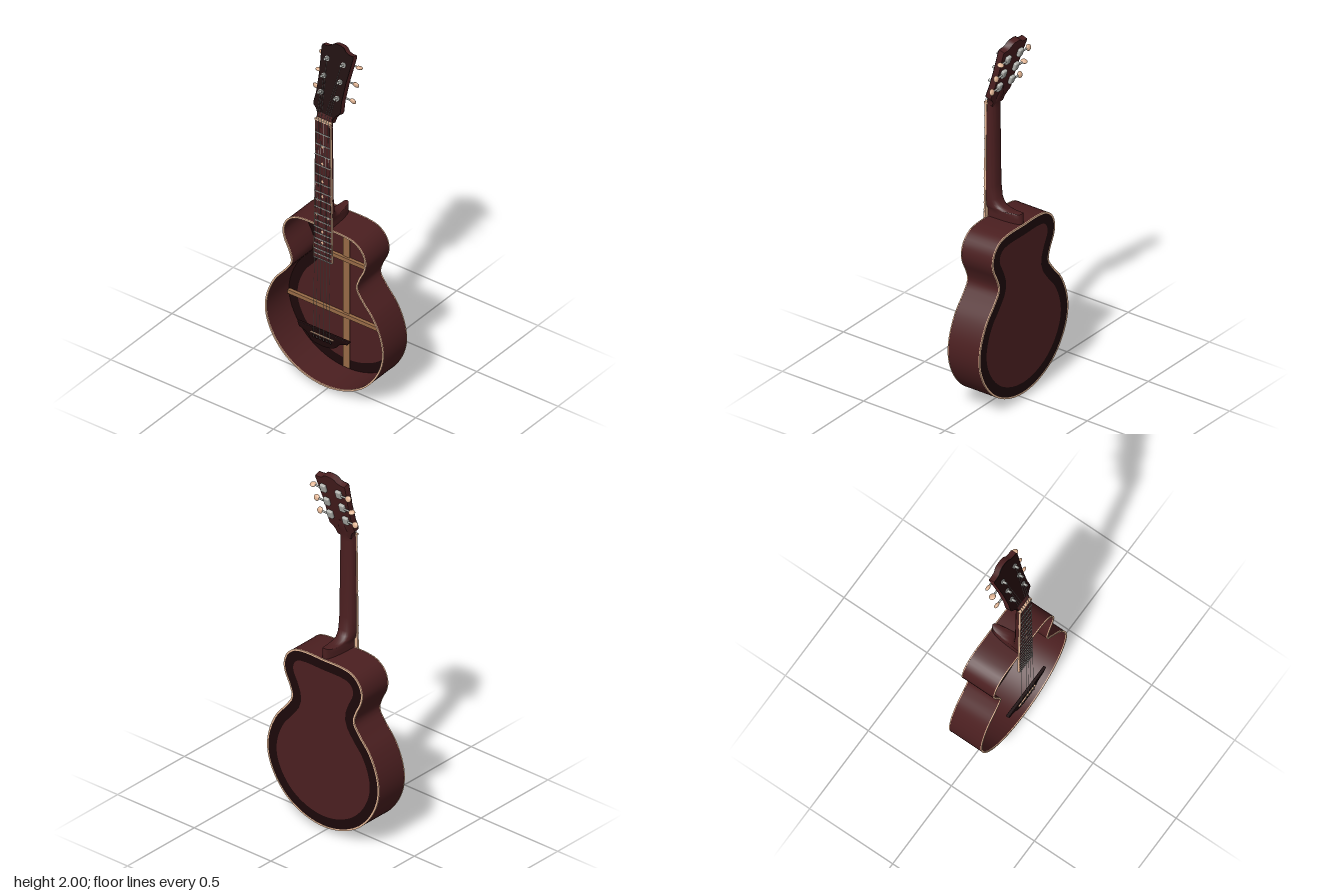
import * as THREE from 'three';
import { toCreasedNormals } from 'three/addons/utils/BufferGeometryUtils.js';
import { RoundedBoxGeometry } from 'three/addons/geometries/RoundedBoxGeometry.js';

const mat = (name, color) => {
  const m = new THREE.MeshStandardMaterial({ color });
  m.name = name;
  return m;
};
const V2 = (x, y) => new THREE.Vector2(x, y);
const V3 = (x, y, z) => new THREE.Vector3(x, y, z);

export function createModel() {
  const wood = mat('red brown wood', 0x4b1f20);
  const dark = mat('dark wood', 0x1c0809);
  const brace = mat('brace wood', 0x976a46);
  const cream = mat('cream binding', 0xe4b796);
  const metal = mat('metal', 0xb2b3ae);
  const guitar = new THREE.Group();
  guitar.name = 'guitar';

  const add = (parent, name, geo, material, x = 0, y = 0, z = 0) => {
    const mesh = new THREE.Mesh(geo, material);
    mesh.name = name;
    mesh.position.set(x, y, z);
    parent.add(mesh);
    return mesh;
  };
  const box = (parent, name, w, h, d, m, x, y, z) =>
    add(parent, name, new THREE.BoxGeometry(w, h, d), m, x, y, z);
  // Flat outline, optionally with a hole, extruded along z
  const slab = (pts, depth, hole) => {
    const shape = new THREE.Shape(pts);
    if (hole) shape.holes.push(new THREE.Path(hole));
    const geo = new THREE.ExtrudeGeometry(shape, { depth, bevelEnabled: false });
    return toCreasedNormals(geo, 0.5);
  };
  // Mirrors a half outline running from bottom centre to top centre
  const mirror = half => [...half, ...half.filter(p => p[0] > 0).reverse().map(([x, y]) => [-x, y])];
  const rod = (parent, name, a, b, r, m, sides = 6) => {
    const mesh = add(parent, name, new THREE.CylinderGeometry(r, r, a.distanceTo(b), sides), m);
    mesh.position.copy(a).add(b).multiplyScalar(0.5);
    mesh.quaternion.setFromUnitVectors(V3(0, 1, 0), b.clone().sub(a).normalize());
    return mesh;
  };

  // Body outline and its insets
  const front = 0.085, back = -0.11;
  const half = [[0, 0.028], [0.115, 0.046], [0.222, 0.099], [0.3, 0.178], [0.35, 0.275], [0.364, 0.36],
    [0.35, 0.45], [0.305, 0.55], [0.24, 0.63], [0.203, 0.69], [0.218, 0.75], [0.247, 0.81],
    [0.256, 0.86], [0.237, 0.92], [0.19, 0.961], [0.125, 0.975], [0, 0.975]];
  const curve = new THREE.CatmullRomCurve3(mirror(half).map(([x, y]) => V3(x, y, 0)), true);
  const rim = curve.getSpacedPoints(120).slice(0, -1);
  const inset = d => rim.map((p, i) => {
    const t = rim[(i + 1) % rim.length].clone().sub(rim[(i + rim.length - 1) % rim.length]).normalize();
    return V2(p.x - t.y * d, p.y + t.x * d);
  });
  const body = new THREE.Group();
  body.name = 'body';
  guitar.add(body);
  add(body, 'sides', slab(inset(0), front - back - 0.008, inset(0.007)), wood, 0, 0, back + 0.004);
  add(body, 'frontBinding', slab(inset(-0.001), 0.005, inset(0.008)), cream, 0, 0, front - 0.005);
  add(body, 'backBinding', slab(inset(-0.001), 0.005, inset(0.008)), cream, 0, 0, back);
  add(body, 'backBorder', slab(inset(0.006), 0.007, inset(0.06)), dark, 0, 0, back + 0.001);
  add(body, 'backPanel', slab(inset(0.06), 0.007), wood, 0, 0, back + 0.001);

  // Braces glued inside the back
  box(body, 'centreBrace', 0.04, 0.925, 0.006, brace, 0, 0.503, back + 0.011);
  for (const [y, w] of [[0.355, 0.352], [0.69, 0.194], [0.848, 0.246]])
    box(body, 'crossBrace', w * 2, 0.022, 0.018, brace, 0, y, back + 0.017);

  // Neck and heel: D-shaped cross-sections [y, half width, depth, rise of the back edge]
  const sections = [[0.968, 0.036, 0.188, 0], [1.0, 0.036, 0.19, 0], [1.02, 0.036, 0.19, 0.016],
    [1.026, 0.04, 0.125, 0], [1.036, 0.044, 0.083, 0], [1.053, 0.047, 0.062, 0], [1.077, 0.05, 0.049, 0],
    [1.15, 0.049, 0.04, 0], [1.4, 0.047, 0.037, 0], [1.58, 0.044, 0.036, 0], [1.615, 0.044, 0.038, 0],
    [1.65, 0.04, 0.044, 0], [1.71, 0.02, 0.036, 0]];
  const N = 16, pos = [], idx = [];
  for (const [y, w, d, rise] of sections)
    for (let i = 0; i <= N; i++) {
      const a = Math.PI * i / N, c = Math.cos(a), s = Math.sin(a);
      const lean = Math.max(0, y - 1.615) * 0.36;
      pos.push(w * Math.sign(c) * Math.abs(c) ** 0.75, y + rise * s ** 8, front - lean - d * s);
    }
  for (let s = 0; s < sections.length - 1; s++)
    for (let i = 0; i <= N; i++) {
      const j = (i + 1) % (N + 1), a = s * (N + 1), b = a + N + 1;
      idx.push(a + i, a + j, b + i, a + j, b + j, b + i);
    }
  for (let i = 1; i < N; i++) {
    const t = (sections.length - 1) * (N + 1);
    idx.push(0, i + 1, i, t, t + i, t + i + 1);
  }
  const neckGeo = new THREE.BufferGeometry();
  neckGeo.setAttribute('position', new THREE.Float32BufferAttribute(pos, 3));
  neckGeo.setIndex(idx);
  add(guitar, 'neck', toCreasedNormals(neckGeo, 0.8), wood);

  // Fretboard with bound edges, frets and inlays
  const nutY = 1.61, endY = 0.785, boardTop = 0.097;
  const halfWidth = y => 0.046 + (nutY - y) / (nutY - endY) * 0.011;
  const board = inner => [V2(-halfWidth(endY) + inner, endY), V2(halfWidth(endY) - inner, endY),
    V2(halfWidth(nutY) - inner, nutY), V2(-halfWidth(nutY) + inner, nutY)];
  add(guitar, 'fretboardBinding', slab(board(0), 0.011), cream, 0, 0, front);
  add(guitar, 'fretboard', slab(board(0.003), 0.002), wood, 0, 0, boardTop - 0.002);
  const scale = 1.27;
  for (let n = 1; n <= 18; n++) {
    const y = nutY - scale * (1 - 2 ** (-n / 12));
    box(guitar, 'fret', halfWidth(y) * 2 - 0.004, 0.005, 0.004, metal, 0, y, boardTop + 0.001);
  }
  for (const [x, y] of [[0, 1.463], [0, 1.362], [0, 1.256], [0, 1.167], [-0.034, 1.05], [0.034, 1.05],
    [0, 0.955], [0, 0.89]])
    add(guitar, 'inlay', new THREE.CircleGeometry(0.01, 4), cream, x, y, boardTop + 0.001);
  box(guitar, 'nut', 0.096, 0.011, 0.02, cream, 0, nutY + 0.004, 0.089);

  // Headstock, tilted back
  const head = new THREE.Group();
  head.name = 'headstock';
  head.position.set(0, nutY, 0.085);
  head.rotation.x = -0.3;
  guitar.add(head);
  head.updateMatrix();
  const headPts = mirror([[0.044, 0.004], [0.049, 0.03], [0.062, 0.05], [0.08, 0.064], [0.083, 0.078],
    [0.078, 0.13], [0.082, 0.23], [0.097, 0.37], [0.094, 0.38], [0.07, 0.38], [0.05, 0.386],
    [0.034, 0.402], [0.015, 0.408]]).map(([x, y]) => V2(x, y));
  add(head, 'headstockWood', slab(headPts, 0.03), wood, 0, 0, -0.034);
  add(head, 'headstockFace', slab(headPts, 0.004), dark, 0, 0, -0.004);

  // Tuners, three on each side, some buttons turned edge-on
  const posts = [0.141, 0.228, 0.319];
  for (const s of [-1, 1])
    posts.forEach((y, k) => {
      const tuner = new THREE.Group();
      tuner.name = s > 0 ? 'leftTuner' : 'rightTuner';
      tuner.position.set(s * 0.05, y, 0);
      head.add(tuner);
      rod(tuner, 'washer', V3(0, 0, 0), V3(0, 0, 0.005), 0.014, metal, 12);
      rod(tuner, 'post', V3(0, 0, 0), V3(0, 0, 0.026), 0.007, metal, 10);
      add(tuner, 'gearHousing', new RoundedBoxGeometry(0.036, 0.048, 0.02, 2, 0.008), metal, 0, 0, -0.043);
      rod(tuner, 'shaft', V3(0, 0, -0.045), V3(s * 0.055, 0, -0.045), 0.005, metal, 8);
      const knob = add(tuner, 'button', new THREE.SphereGeometry(1, 14, 10), cream, s * 0.064, 0, -0.045);
      knob.scale.set(0.018, 0.017, 0.009);
      knob.rotation.x = k === (s < 0 ? 1 : 2) ? Math.PI / 2 : 0.6;
    });

  // Floating bridge with curved ends, saddle and pins
  const bridge = new THREE.Shape([V2(-0.155, 0.362), V2(-0.145, 0.335)]);
  bridge.quadraticCurveTo(-0.09, 0.325, -0.078, 0.29);
  bridge.quadraticCurveTo(-0.06, 0.273, 0, 0.273);
  bridge.quadraticCurveTo(0.06, 0.275, 0.085, 0.3);
  bridge.quadraticCurveTo(0.1, 0.33, 0.15, 0.34);
  bridge.lineTo(0.168, 0.362);
  const bridgeGeo = new THREE.ExtrudeGeometry(bridge, {
    depth: 0.01, bevelThickness: 0.003, bevelSize: 0.003, bevelOffset: -0.003, bevelSegments: 2 });
  add(guitar, 'bridge', toCreasedNormals(bridgeGeo, 0.5), dark, 0, 0, 0.086);
  box(guitar, 'saddle', 0.14, 0.005, 0.007, cream, 0, 0.336, 0.102);

  // Strings run from the pins over the nut to the posts
  for (let i = 0; i < 6; i++) {
    const u = i / 2.5 - 1, s = Math.sign(u), k = i < 3 ? i : 5 - i;
    const low = V3(u * 0.052, 0.318, 0.106), nut = V3(u * 0.036, nutY + 0.006, 0.1);
    const post = V3(s * 0.045, posts[k], 0.014).applyMatrix4(head.matrix);
    rod(guitar, 'string', low, nut, 0.0011, metal, 5);
    rod(guitar, 'stringEnd', nut, post, 0.0011, metal, 5);
    add(guitar, 'bridgePin', new THREE.SphereGeometry(0.006, 8, 6), dark, u * 0.052, 0.316, 0.103);
  }

  // Strap pin under the body
  const pin = [[0, 0], [0.012, 0], [0.015, 0.004], [0.012, 0.009], [0.008, 0.013], [0.009, 0.022], [0.016, 0.032]];
  add(guitar, 'endPin', new THREE.LatheGeometry(pin.map(([x, y]) => V2(x, y)), 16), metal, 0, 0, -0.01);
  return guitar;
}
